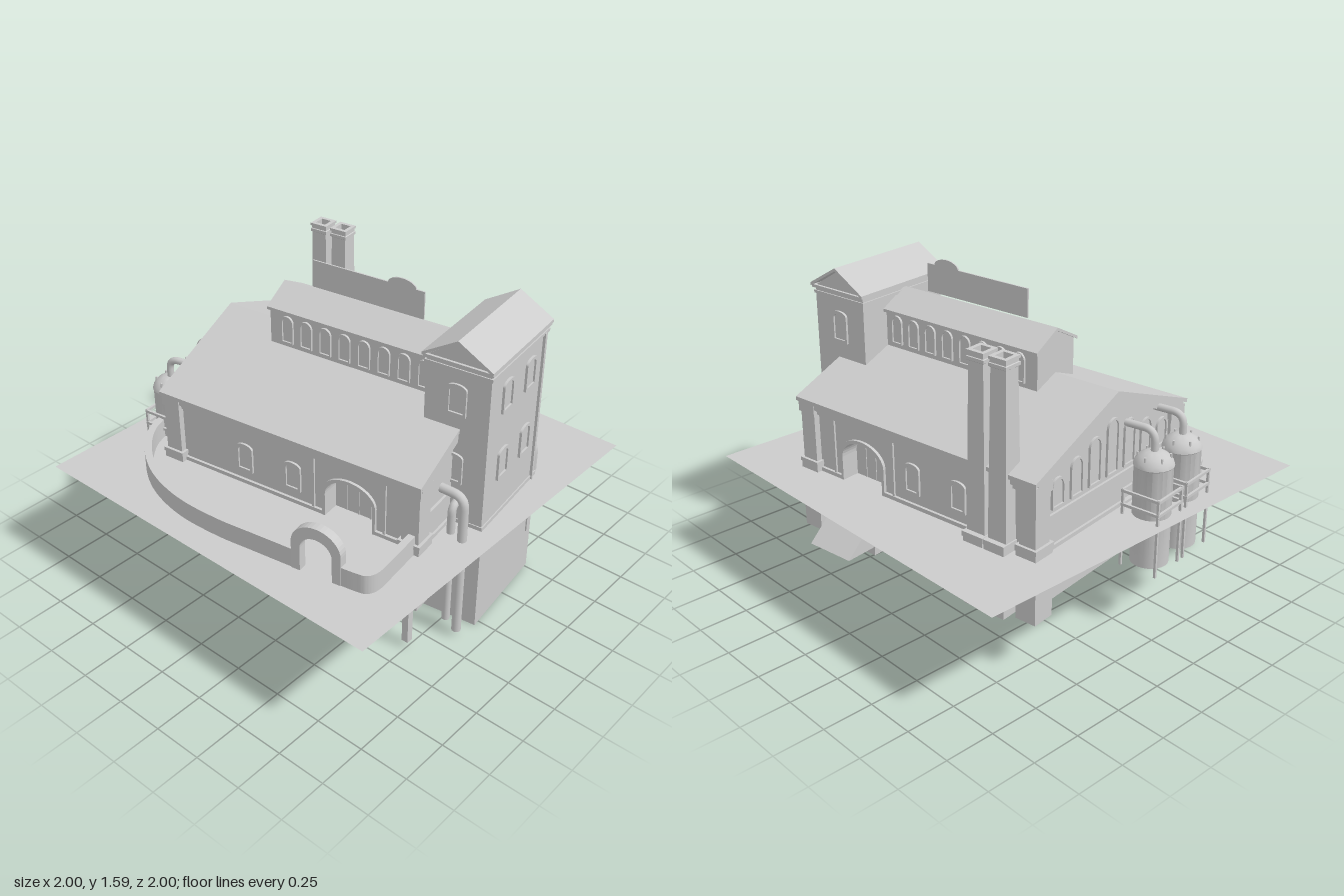
import * as THREE from 'three';
import { toCreasedNormals } from 'three/addons/utils/BufferGeometryUtils.js';

const grey = new THREE.MeshStandardMaterial({ color: 0xcccccc, side: THREE.DoubleSide });

function add(parent, name, geo, x = 0, y = 0, z = 0, ry = 0) {
  const m = new THREE.Mesh(geo, grey);
  m.name = name;
  m.position.set(x, y, z);
  m.rotation.y = ry;
  parent.add(m);
  return m;
}

// Box given by its extents
function block(parent, name, x0, x1, y0, y1, z0, z1) {
  return add(parent, name, new THREE.BoxGeometry(x1 - x0, y1 - y0, z1 - z0),
    (x0 + x1) / 2, (y0 + y1) / 2, (z0 + z1) / 2);
}

const poly = (pts) => new THREE.Shape(pts.map(([x, y]) => new THREE.Vector2(x, y)));
const extrude = (shape, depth, curveSegments = 10) =>
  new THREE.ExtrudeGeometry(shape, { depth, bevelEnabled: false, curveSegments });

// Rectangle with an elliptical head, standing on y = y0
function archShape(w, h, rise, x = 0, y0 = 0, Kind = THREE.Shape) {
  const s = new Kind();
  s.moveTo(x - w / 2, y0);
  s.lineTo(x + w / 2, y0);
  s.lineTo(x + w / 2, y0 + h - rise);
  s.absellipse(x, y0 + h - rise, w / 2, rise, 0, Math.PI, false);
  s.closePath();
  return s;
}

function archRing(w, h, rise, t, depth) {
  const s = archShape(w, h, rise);
  s.holes.push(archShape(w - 2 * t, h - 2 * t, Math.min(rise, h - 2 * t), 0, t, THREE.Path));
  return extrude(s, depth);
}

// Framed window lying on a wall that faces direction ry
function addWindow(parent, w, h, rise, x, y, z, ry, t = 0.014) {
  const g = new THREE.Group();
  g.name = 'window';
  g.position.set(x, y, z);
  g.rotation.y = ry;
  add(g, 'windowFrame', archRing(w, h, rise, t, 0.012));
  add(g, 'windowPane', extrude(archShape(w - t, h - t, rise, 0, t / 2), 0.003));
  parent.add(g);
}

// Two-sloped slab and gabled solid, both centred along their depth
function chevron(half, yEave, yRidge, t, depth) {
  return extrude(poly([[-half, yEave - t], [0, yRidge - t], [half, yEave - t],
    [half, yEave], [0, yRidge], [-half, yEave]]), depth).translate(0, 0, -depth / 2);
}
function gabled(half, y0, yEave, yRidge, depth) {
  return extrude(poly([[-half, y0], [half, y0], [half, yEave], [0, yRidge], [-half, yEave]]), depth)
    .translate(0, 0, -depth / 2);
}

// Round pipe through corner points, with rounded bends
function pipe(parent, name, pts, r, bend = 0.06) {
  const v = pts.map((p) => new THREE.Vector3(...p));
  const path = new THREE.CurvePath();
  let last = v[0];
  for (let i = 1; i < v.length - 1; i++) {
    const a = v[i].clone().add(v[i - 1].clone().sub(v[i]).setLength(bend));
    const b = v[i].clone().add(v[i + 1].clone().sub(v[i]).setLength(bend));
    path.add(new THREE.LineCurve3(last, a));
    path.add(new THREE.QuadraticBezierCurve3(a, v[i], b));
    last = b;
  }
  path.add(new THREE.LineCurve3(last, v[v.length - 1]));
  add(parent, name, new THREE.TubeGeometry(path, 48, r, 12));
}

// Upright duct following a plan path of [x, z]
function duct(parent, pts, w, y0, y1) {
  const c = new THREE.CatmullRomCurve3(pts.map(([x, z]) => new THREE.Vector3(x, 0, z)));
  const L = [], R = [];
  for (let i = 0; i <= 40; i++) {
    const p = c.getPoint(i / 40), d = c.getTangent(i / 40);
    L.push([p.x - d.z * w / 2, -(p.z + d.x * w / 2)]);
    R.unshift([p.x + d.z * w / 2, -(p.z - d.x * w / 2)]);
  }
  const geo = extrude(poly([...L, ...R]), y1 - y0).rotateX(-Math.PI / 2);
  add(parent, 'duct', toCreasedNormals(geo, 0.6), 0, y0, 0);
}

function buildHall(hall) {
  add(hall, 'mainRoof', chevron(0.59, 0.95, 1.18, 0.02, 1.475));
  for (const s of [-1, 1]) {
    // Gable ends with cornice, band and plinth
    add(hall, 'gableWall', gabled(0.54, 0.32, 0.95, 1.155, 0.03), 0, 0, s * 0.695);
    add(hall, 'rakingCornice', chevron(0.565, 0.94, 1.16, 0.05, 0.025), 0, 0, s * 0.72);
    block(hall, 'gablePlinth', -0.54, 0.54, 0.32, 0.59, s * 0.71 - 0.012, s * 0.71 + 0.012);
    block(hall, 'gableBand', -0.54, 0.54, 0.72, 0.745, s * 0.71 - 0.012, s * 0.71 + 0.012);

    // Side wall, open for the arched doorway
    const side = new THREE.Group();
    side.name = 'sideWall';
    side.position.x = s * 0.54;
    side.rotation.y = s * Math.PI / 2;
    hall.add(side);
    const u = -s * 0.34;
    const wall = poly([[-0.7, 0.32], [0.7, 0.32], [0.7, 0.95], [-0.7, 0.95]]);
    wall.holes.push(archShape(0.26, 0.26, 0.09, u, 0.54, THREE.Path));
    add(side, 'wall', extrude(wall, 0.03), 0, 0, -0.03);
    add(side, 'doorReveal', archRing(0.29, 0.28, 0.1, 0.015, 0.11), u, 0.53, -0.095);
    add(side, 'door', extrude(archShape(0.27, 0.26, 0.09), 0.01), u, 0.54, -0.09);
    for (const k of [-0.065, 0, 0.065])
      block(side, 'doorRail', u + k - 0.003, u + k + 0.003, 0.55, 0.78, -0.085, -0.076);
    const ramp = extrude(poly([[0, 0.32], [0.25, 0.32], [0, 0.54]]), 0.26);
    add(side, 'ramp', ramp, u + 0.13, 0, 0, -Math.PI / 2);
    for (const [a, b] of [[-0.7, 0.2], [0.48, 0.7]])
      block(side, 'sidePlinth', Math.min(-s * a, -s * b), Math.max(-s * a, -s * b), 0.32, 0.59, -0.005, 0.014);
    block(side, 'entablature', -0.72, 0.72, 0.875, 0.9, -0.01, 0.02);
    block(side, 'eaveCornice', -0.725, 0.725, 0.9, 0.935, -0.01, 0.035);
    for (const z of [0.14, 0.53]) block(side, 'wallStrip', -s * z - 0.006, -s * z + 0.006, 0.59, 0.88, 0, 0.01);
    for (const z of [0.02, -0.26]) addWindow(side, 0.095, 0.155, 0.025, -s * z, 0.64, 0, 0);

    // Corner pilasters
    for (const t of [-1, 1]) {
      const px = s * 0.522, pz = t * 0.68;
      block(hall, 'pilasterBase', px - 0.06, px + 0.06, 0.25, 0.61, pz - 0.055, pz + 0.055);
      block(hall, 'pilasterBaseCap', px - 0.064, px + 0.064, 0.605, 0.625, pz - 0.059, pz + 0.059);
      block(hall, 'pilaster', px - 0.05, px + 0.05, 0.62, 0.88, pz - 0.045, pz + 0.045);
      block(hall, 'pilasterCap', px - 0.058, px + 0.058, 0.875, 0.925, pz - 0.052, pz + 0.052);
    }
  }
  // Rising row of arches in the rear gable
  for (let i = -3; i <= 3; i++)
    addWindow(hall, 0.09, 0.28 - Math.abs(i) * 0.045, 0.045, i * 0.135, 0.765, -0.71, Math.PI, 0.01);

  // Raised roof light with arched windows, and the panel over its ridge
  add(hall, 'roofLightBody', gabled(0.135, 1.0, 1.31, 1.385, 0.95), 0, 0, 0.09);
  add(hall, 'roofLightRoof', chevron(0.15, 1.32, 1.4, 0.015, 0.96), 0.005, 0, 0.082);
  for (const s of [-1, 1])
    for (let i = 0; i < 8; i++)
      addWindow(hall, 0.068, 0.145, 0.034, s * 0.135, 1.15, 0.48 - i * 0.109, s * Math.PI / 2, 0.007);
  const panel = new THREE.Shape();
  panel.moveTo(-0.385, 1.41);
  panel.lineTo(0.23, 1.41);
  panel.lineTo(0.23, 1.55);
  panel.lineTo(-0.19, 1.55);
  panel.absellipse(-0.265, 1.55, 0.075, 0.037, 0, Math.PI, false);
  panel.lineTo(-0.385, 1.55);
  add(hall, 'ridgePanel', extrude(panel, 0.008), 0.005, 0, 0, Math.PI / 2);

  // Twin hollow chimneys
  for (const z of [-0.54, -0.419]) {
    block(hall, 'chimneyBase', 0.5, 0.63, 0.25, 0.6, z - 0.056, z + 0.056);
    block(hall, 'chimneyBaseCap', 0.498, 0.634, 0.595, 0.62, z - 0.059, z + 0.059);
    const sq = (a, y) => [a * Math.SQRT2, y];
    const prof = [sq(0.052, 0.6), sq(0.041, 1.42), sq(0.048, 1.425), sq(0.048, 1.44), sq(0.043, 1.442),
      sq(0.043, 1.455), sq(0.048, 1.457), sq(0.048, 1.47), sq(0.028, 1.47), sq(0.028, 1.35), [0, 1.35]];
    const geo = new THREE.LatheGeometry(prof.map((p) => new THREE.Vector2(...p)), 4).rotateY(Math.PI / 4);
    add(hall, 'chimney', toCreasedNormals(geo, 0.1), 0.555, 0, z);
  }
}

function buildTower(hall) {
  const t = new THREE.Group();
  t.name = 'tower';
  t.position.set(0.017, 0, 0.715);
  hall.add(t);
  add(t, 'towerBody', gabled(0.163, 0.55, 1.41, 1.51, 0.55), 0, 0, 0, Math.PI / 2);
  block(t, 'towerBase', -0.28, 0.28, 0, 0.59, -0.167, 0.169);
  add(t, 'towerRoof', chevron(0.177, 1.425, 1.53, 0.015, 0.593), 0, 0, 0, Math.PI / 2);
  block(t, 'towerBand', -0.281, 0.281, 1.37, 1.385, -0.17, 0.17);
  block(t, 'towerCornice', -0.288, 0.288, 1.4, 1.415, -0.175, 0.175);
  block(t, 'downpipe', 0.225, 0.237, 0.25, 1.38, 0.16, 0.176);
  for (const y of [0.79, 1.15]) {
    for (const x of [-0.112, 0.112]) addWindow(t, 0.1, 0.16, 0.025, x, y, 0.163, 0);
    addWindow(t, 0.1, 0.16, 0.025, -0.275, y, 0, -Math.PI / 2);
  }
  addWindow(t, 0.1, 0.16, 0.025, 0.275, 1.15, 0, Math.PI / 2);
}

function buildTank(hall, x) {
  const t = new THREE.Group();
  t.name = 'tank';
  t.position.set(x, 0, -0.863);
  hall.add(t);
  const prof = [[0, 0.32], [0.092, 0.32], [0.092, 0.815], [0.096, 0.82], [0.09, 0.84], [0.07, 0.865], [0.04, 0.882], [0, 0.888]];
  const geo = new THREE.LatheGeometry(prof.map((p) => new THREE.Vector2(...p)), 24);
  add(t, 'tankShell', toCreasedNormals(geo, 0.7));
  for (const y of [0.62, 0.69]) {
    for (const s of [-1, 1]) {
      block(t, 'frameRail', -0.102, 0.102, y - 0.007, y + 0.007, s * 0.098 - 0.006, s * 0.098 + 0.006);
      block(t, 'frameRail', s * 0.098 - 0.006, s * 0.098 + 0.006, y - 0.007, y + 0.007, -0.102, 0.102);
    }
  }
  for (const a of [-1, 1]) for (const b of [-1, 1])
    block(t, 'frameLeg', a * 0.096 - 0.006, a * 0.096 + 0.006, 0.3, 0.7, b * 0.096 - 0.006, b * 0.096 + 0.006);
  for (let i = 0; i < 6; i++)
    add(t, 'domeStud', new THREE.CylinderGeometry(0.006, 0.006, 0.03, 6),
      0.075 * Math.cos(i * Math.PI / 3), 0.86, 0.075 * Math.sin(i * Math.PI / 3));
  pipe(t, 'tankPipe', [[0, 0.87, 0], [0, 0.985, 0], [0.01, 0.985, 0.16]], 0.018);
}

export function createModel() {
  const model = new THREE.Group();
  model.name = 'factory';
  add(model, 'groundSheet', new THREE.PlaneGeometry(2, 2).rotateX(-Math.PI / 2), 0, 0.57, 0);

  // The building sits turned on its ground
  const hall = new THREE.Group();
  hall.name = 'hall';
  hall.position.set(0.105, 0, -0.01);
  hall.rotation.y = 0.136;
  model.add(hall);
  buildHall(hall);
  buildTower(hall);
  for (const x of [-0.356, -0.119]) buildTank(hall, x);

  // Duct around the side, lifted over a passage by an arch
  duct(model, [[-0.44, -0.82], [-0.55, -0.775], [-0.68, -0.66], [-0.79, -0.48], [-0.845, -0.25], [-0.84, 0],
    [-0.81, 0.2], [-0.775, 0.42]], 0.036, 0.55, 0.67);
  duct(model, [[-0.735, 0.64], [-0.718, 0.73], [-0.705, 0.77], [-0.67, 0.787], [-0.52, 0.772], [-0.36, 0.75]], 0.036, 0.55, 0.67);
  const arch = archShape(0.255, 0.28, 0.11);
  arch.holes.push(archShape(0.165, 0.22, 0.075, 0, 0.001, THREE.Path));
  add(model, 'ductArch', extrude(arch, 0.046).translate(0, 0, -0.023), -0.752, 0.55, 0.535, -1.39);
  block(model, 'ductPost', -0.375, -0.34, 0.03, 0.6, 0.72, 0.755);

  // Pipes beside the tower
  pipe(model, 'tallPipe', [[-0.15, 0.81, 0.74], [-0.145, 0.81, 0.87], [-0.145, 0.03, 0.87]], 0.023);
  pipe(model, 'leftElbow', [[-0.02, 0.72, 0.78], [-0.13, 0.72, 0.795], [-0.13, 0.05, 0.795]], 0.02, 0.04);
  pipe(model, 'rightPipe', [[0.545, 0.36, 0.79], [0.545, 0.745, 0.79], [0.54, 0.745, 0.63]], 0.021, 0.08);
  pipe(model, 'rightElbow', [[0.625, 0.36, 0.685], [0.625, 0.685, 0.685], [0.48, 0.685, 0.705]], 0.02);
  return model;
}
